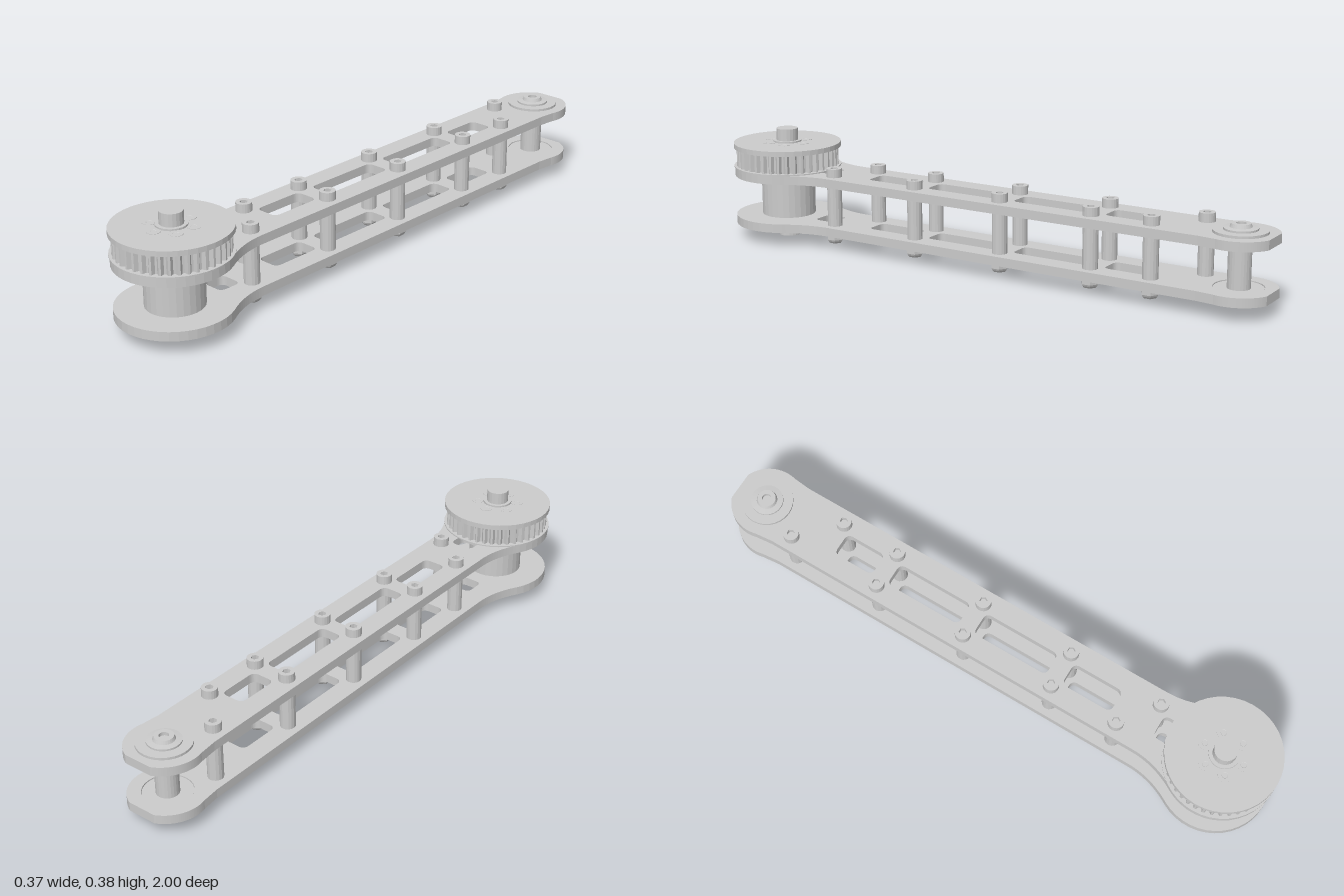
import * as THREE from 'three';

const mat = new THREE.MeshStandardMaterial({ color: 0xcccccc, flatShading: true });
const HUB_Z = 0.815, TIP_Z = -0.89;          // drive hub and pivot axes
const LOW = 0.048, HIGH = 0.217, THICK = 0.03; // undersides of the two plates

function add(parent, name, geometry, x = 0, y = 0, z = 0) {
  const mesh = new THREE.Mesh(geometry, mat);
  mesh.name = name;
  mesh.position.set(x, y, z);
  parent.add(mesh);
  return mesh;
}

// Vertical solid of revolution from [radius, height] pairs, bottom to top
const lathe = (pts, seg = 24) =>
  new THREE.LatheGeometry(pts.map(([r, y]) => new THREE.Vector2(r, y)), seg);
const rod = (r, y0, y1, seg = 24) => lathe([[0, y0], [r, y0], [r, y1], [0, y1]], seg);

// Extrude a plan shape (shape y = -z) upwards
function slab(shape, depth, curveSegments = 10) {
  return new THREE.ExtrudeGeometry(shape, { depth, bevelEnabled: false, curveSegments })
    .rotateX(-Math.PI / 2);
}

const circle = (C, x, z, r) => {
  const c = new C();
  c.absarc(x, -z, r, 0, Math.PI * 2, false);
  return c;
};

function polygon(C, n, radiusAt) {
  const c = new C();
  c.setFromPoints(Array.from({ length: n }, (_, i) => {
    const a = (i / n) * Math.PI * 2, r = radiusAt(i);
    return new THREE.Vector2(r * Math.cos(a), r * Math.sin(a));
  }));
  return c;
}

// Rounded rectangular lightening slot between z0 and z1
function slot(z0, z1, w = 0.04, r = 0.022) {
  const p = new THREE.Path(), a = -z1, b = -z0;
  p.moveTo(-w + r, a);
  p.lineTo(w - r, a);
  p.quadraticCurveTo(w, a, w, a + r);
  p.lineTo(w, b - r);
  p.quadraticCurveTo(w, b, w - r, b);
  p.lineTo(-w + r, b);
  p.quadraticCurveTo(-w, b, -w, b - r);
  p.lineTo(-w, a + r);
  p.quadraticCurveTo(-w, a, -w + r, a);
  return p;
}

// Arm plate: wide round hub, flared neck, straight beam, blunt round tip
function plateGeometry() {
  const s = new THREE.Shape(), w = 0.11, R = 0.182, r = 0.12;
  const a = Math.PI / 6, px = R * Math.cos(a), pz = HUB_Z - R * Math.sin(a);
  const tipA = Math.asin(0.11 / r), tipStart = -0.25;
  s.moveTo(-w, -0.56);
  s.quadraticCurveTo(-w, -0.645, -px, -pz);
  s.absarc(0, -HUB_Z, R, Math.PI - a, Math.PI * 2 + a, false);
  s.quadraticCurveTo(w, -0.645, w, -0.56);
  s.lineTo(w, 0.80);
  s.absarc(0, -TIP_Z, r, tipStart, tipA, false);
  s.absarc(0, -TIP_Z, r, Math.PI - tipA, Math.PI - tipStart, false);
  s.lineTo(-w, 0.80);
  s.closePath();
  s.holes.push(
    slot(-0.60, -0.455), slot(-0.395, -0.125), slot(-0.067, 0.203),
    slot(0.262, 0.44), slot(0.593, 0.67), circle(THREE.Path, 0, TIP_Z, 0.078));
  return slab(s, THICK, 14);
}

// Spacer bolt: standoff, socket head on top and domed lock nut underneath
function spacerBolt(x, z) {
  const g = new THREE.Group();
  g.name = 'spacerBolt';
  g.position.set(x, 0, z);
  add(g, 'standoff', rod(0.025, LOW + THICK, HIGH, 16));
  const head = circle(THREE.Shape, 0, 0, 0.026);
  head.holes.push(polygon(THREE.Path, 6, () => 0.013));
  add(g, 'socketHead', slab(head, 0.029), 0, HIGH + THICK, 0);
  add(g, 'socketFloor', rod(0.02, 0, 0.012, 12), 0, HIGH + THICK, 0);
  add(g, 'lockNut', lathe([[0.012, 0.018], [0.021, 0.018], [0.026, 0.024], [0.029, 0.03],
    [0.029, LOW], [0, LOW]], 6));
  add(g, 'boltEnd', rod(0.013, 0.021, LOW, 12));
  return g;
}

// Ring of six nearly flush screws; 'up' is false for the underside
function screwRing(y, up) {
  const g = new THREE.Group();
  g.name = 'hubScrews';
  for (let i = 0; i < 6; i++) {
    const a = Math.PI / 2 + (i * Math.PI) / 3;
    const m = add(g, 'hubScrew', lathe([[0.022, -0.004], [0.022, 0.001], [0.01, 0.001],
      [0.009, 0.0003], [0, 0.0003]], 14), 0.068 * Math.cos(a), y, HUB_Z + 0.068 * Math.sin(a));
    if (!up) m.rotation.x = Math.PI;
  }
  return g;
}

// Flanged pivot bearing, built upward from the plate's outer face
function pivotBearing(y, up) {
  const g = new THREE.Group();
  g.name = up ? 'upperPivotBearing' : 'lowerPivotBearing';
  add(g, 'bearing', lathe([[0, -0.027], [0.077, -0.027], [0.077, 0], [0.085, 0],
    [0.085, 0.008], [0.053, 0.008], [0.053, 0.014], [0.034, 0.016], [0.030, 0.027],
    [0.015, 0.027], [0.015, 0.016], [0, 0.016]], 28));
  g.position.set(0, y, TIP_Z);
  if (!up) g.rotation.x = Math.PI;
  return g;
}

// Toothed belt pulley between two flanges
function pulley() {
  const g = new THREE.Group();
  g.name = 'pulley';
  const n = 40;
  const teeth = polygon(THREE.Shape, n * 4, i => (i % 4 < 2 ? 0.176 : 0.164));
  add(g, 'pulleyTeeth', slab(teeth, 0.065), 0, 0.25, 0);
  add(g, 'lowerFlange', rod(0.185, HIGH + THICK, 0.251, 40));
  add(g, 'upperFlange', rod(0.185, 0.314, 0.331, 40));
  g.position.z = HUB_Z;
  return g;
}

export function createModel() {
  const model = new THREE.Group();
  model.name = 'armLink';

  const plate = plateGeometry();
  add(model, 'lowerPlate', plate, 0, LOW, 0);
  add(model, 'upperPlate', plate, 0, HIGH, 0);

  // Drive hub
  add(model, 'hubTube', rod(0.092, LOW + THICK, HIGH, 28), 0, 0, HUB_Z);
  add(model, 'driveShaft', rod(0.037, 0, 0.378, 20), 0, 0, HUB_Z);
  add(model, 'upperCollar', rod(0.049, 0.331, 0.337), 0, 0, HUB_Z);
  add(model, 'lowerCollar', rod(0.049, 0.042, LOW), 0, 0, HUB_Z);
  model.add(pulley(), screwRing(0.331, true), screwRing(LOW, false));

  // Paired spacer bolts along the beam, staggered ones near the ends
  const bx = 0.063;
  for (const z of [-0.421, -0.092, 0.236])
    for (const side of [-1, 1]) model.add(spacerBolt(side * bx, z));
  model.add(spacerBolt(-bx, -0.752), spacerBolt(bx, -0.628),
    spacerBolt(-bx, 0.473), spacerBolt(bx, 0.565));

  // Pivot at the tip
  add(model, 'pivotSpacer', rod(0.036, LOW + 0.02, HIGH + 0.01), 0, 0, TIP_Z);
  model.add(pivotBearing(HIGH + THICK, true), pivotBearing(LOW, false));

  return model;
}
